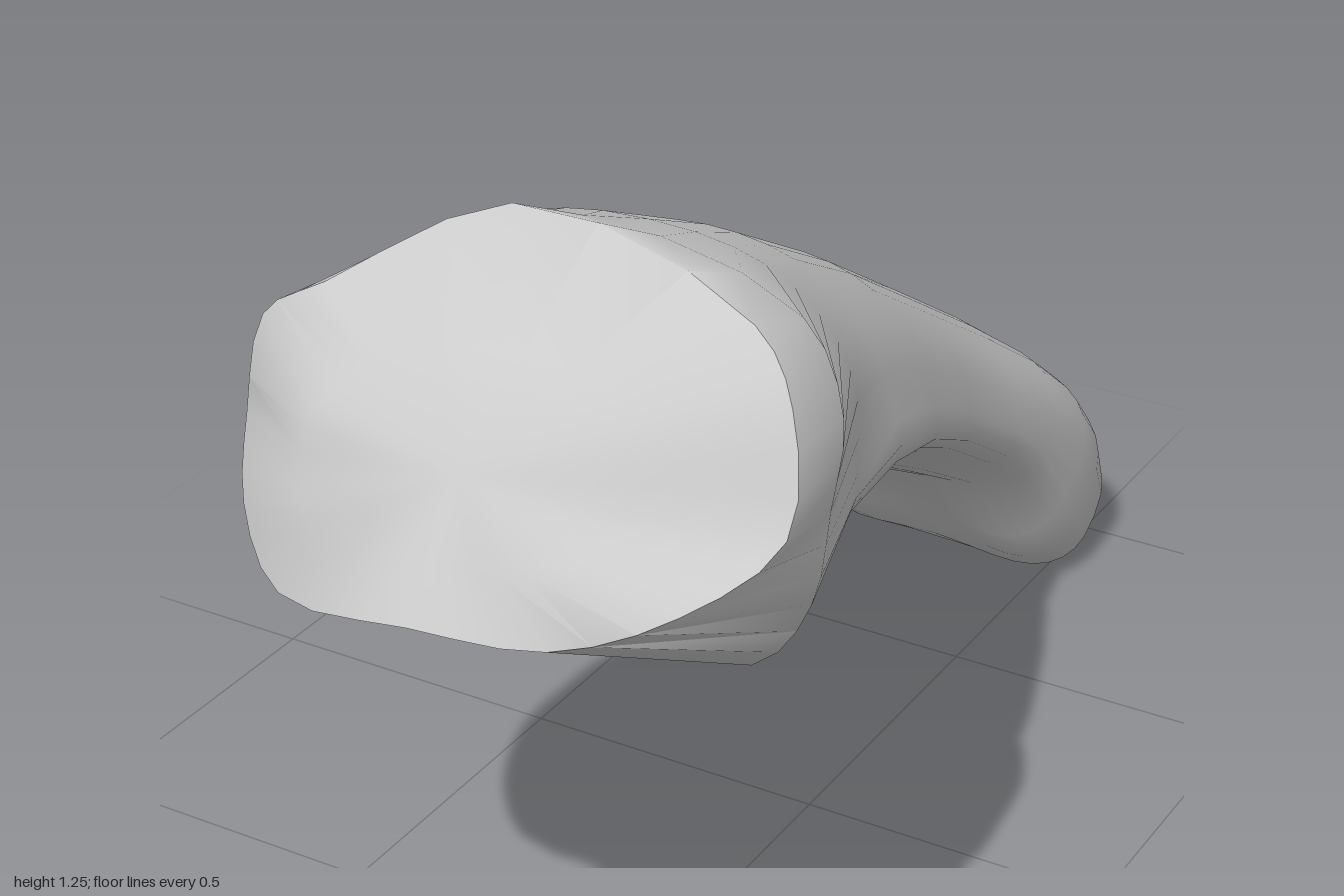
import * as THREE from 'three';
import { toCreasedNormals } from 'three/addons/utils/BufferGeometryUtils.js';

const SIDES = 36;

// All outlines run from the top round over +x.
// Inner contour of the wide joint face: [x, y, z]
const FACE = [
  [-0.02, 1.15, 0.80], [0.17, 1.13, 0.79], [0.22, 1.09, 0.81], [0.22, 1.01, 0.85],
  [0.18, 0.96, 0.90], [0.09, 0.935, 0.94], [0.01, 0.93, 0.955], [-0.1, 0.92, 0.975],
  [-0.17, 0.95, 0.97], [-0.19, 1.0, 0.95], [-0.18, 1.08, 0.92], [-0.13, 1.13, 0.87],
];

// Rim of the joint face
const RIM = [
  [-0.08, 1.26, 0.62], [0.32, 1.22, 0.70], [0.40, 1.15, 0.75], [0.42, 1.0, 0.80],
  [0.33, 0.92, 0.90], [0.17, 0.85, 0.95], [0, 0.86, 1.0], [-0.22, 0.83, 0.97],
  [-0.33, 0.89, 0.89], [-0.37, 0.98, 0.82], [-0.33, 1.13, 0.82], [-0.22, 1.205, 0.83],
];

// Widest outline of the flared base, just behind the rim
const FLARE = [
  [0, 1.245, 0.58], [0.33, 1.19, 0.60], [0.42, 1.1, 0.66], [0.43, 1.0, 0.71],
  [0.42, 0.88, 0.74], [0.34, 0.775, 0.75], [0.05, 0.775, 0.79], [-0.14, 0.78, 0.86],
  [-0.28, 0.84, 0.85], [-0.365, 0.97, 0.75], [-0.34, 1.1, 0.68], [-0.21, 1.19, 0.63],
];

// Unit cross-section of the shaft: rounded back, ridge low on the left side
const SHAFT = [
  [-0.1, 1, 0], [0.35, 0.9, 0], [0.72, 0.55, 0], [0.92, 0.1, 0],
  [1, -0.33, 0], [0.5, -0.65, 0], [0, -0.87, 0], [-0.4, -1, 0],
  [-0.8, -0.78, 0], [-1, -0.1, 0], [-0.88, 0.5, 0], [-0.52, 0.88, 0],
];

// Cross-sections: right x, left x, underside z y, top z y,
// share of shaft shape, head skew, underside groove
const SECTIONS = [
  [-0.34, 0.375, 0.60, 0.78, 0.42, 1.175, 0.6, 0, 0],
  [-0.32, 0.31, 0.36, 0.73, 0.22, 1.08, 1, 0, 0],
  [-0.315, 0.235, 0.10, 0.64, -0.03, 0.94, 1, 0, 0],
  [-0.335, 0.135, -0.20, 0.48, -0.36, 0.74, 1, 0, 0],
  [-0.365, 0.09, -0.45, 0.34, -0.62, 0.575, 0.7, 0, 0],
  [-0.40, 0.08, -0.57, 0.27, -0.78, 0.46, 0.2, 0, 0.1],
  [-0.43, 0.077, -0.65, 0.12, -0.91, 0.36, 0, 0.2, 0.3],
  [-0.433, 0.072, -0.72, 0.04, -0.98, 0.285, 0, 0.7, 0.3],
  [-0.43, 0.06, -0.79, -0.005, -1.02, 0.19, 0, 1, 0.2],
  [-0.40, 0.03, -0.85, -0.015, -1.0, 0.09, 0, 1, 0],
];

function smoothRing(outline) {
  const curve = new THREE.CatmullRomCurve3(
    outline.map((p) => new THREE.Vector3(...p)), true, 'centripetal');
  return Array.from({ length: SIDES }, (_, j) => curve.getPoint(j / SIDES));
}

const shaftRing = smoothRing(SHAFT);
const soft = (v) => Math.sign(v) * Math.abs(v) ** 0.74;

// Blend of shaft shape and rounded box, laid in a tilted plane
function sectionRing([xr, xl, zb, yb, zt, yt, shaft, skew, groove]) {
  return shaftRing.map((p, j) => {
    const a = (j / SIDES) * Math.PI * 2;
    const u = THREE.MathUtils.lerp(soft(Math.sin(a)), p.x, shaft);
    let t = THREE.MathUtils.lerp(soft(Math.cos(a)), p.y, shaft);
    const middle = (1 - u * u) ** 2;
    if (t < 0) t *= 1 - groove * middle;
    const k = (t + 1) / 2;
    const shift = skew * (0.022 * (1 - u) + 0.02 * middle);
    return new THREE.Vector3(
      (xr + xl) / 2 + (u * (xl - xr)) / 2,
      yb + (yt - yb) * k + shift,
      zb + (zt - zb) * k + shift);
  });
}

const centreOf = (ring) =>
  ring.reduce((sum, p) => sum.add(p), new THREE.Vector3()).divideScalar(ring.length);

export function createModel() {
  const group = new THREE.Group();
  group.name = 'fingerBone';

  // Rings from the joint face over the rim and along the shaft to the head
  const rings = [FACE, RIM, FLARE].map(smoothRing).concat(SECTIONS.map(sectionRing));
  const points = rings.flat();
  const index = [];
  for (let i = 0; i < rings.length - 1; i++) {
    for (let j = 0; j < SIDES; j++) {
      const a = i * SIDES + j;
      const b = i * SIDES + ((j + 1) % SIDES);
      index.push(a, b, a + SIDES, b, b + SIDES, a + SIDES);
    }
  }

  // Close the middle of the joint face and the rounded head
  const last = (rings.length - 1) * SIDES;
  const faceCentre = points.length;
  points.push(
    centreOf(rings[0]),
    centreOf(rings[rings.length - 1]).add(new THREE.Vector3(0, -0.008, -0.008)));
  for (let j = 0; j < SIDES; j++) {
    const next = (j + 1) % SIDES;
    index.push(faceCentre, next, j, faceCentre + 1, last + j, last + next);
  }

  const geometry = new THREE.BufferGeometry().setFromPoints(points);
  geometry.setIndex(index);
  const bone = new THREE.Mesh(
    toCreasedNormals(geometry, 0.95),
    new THREE.MeshStandardMaterial({ color: 0xcccccc }));
  bone.name = 'bone';
  group.add(bone);
  return group;
}
